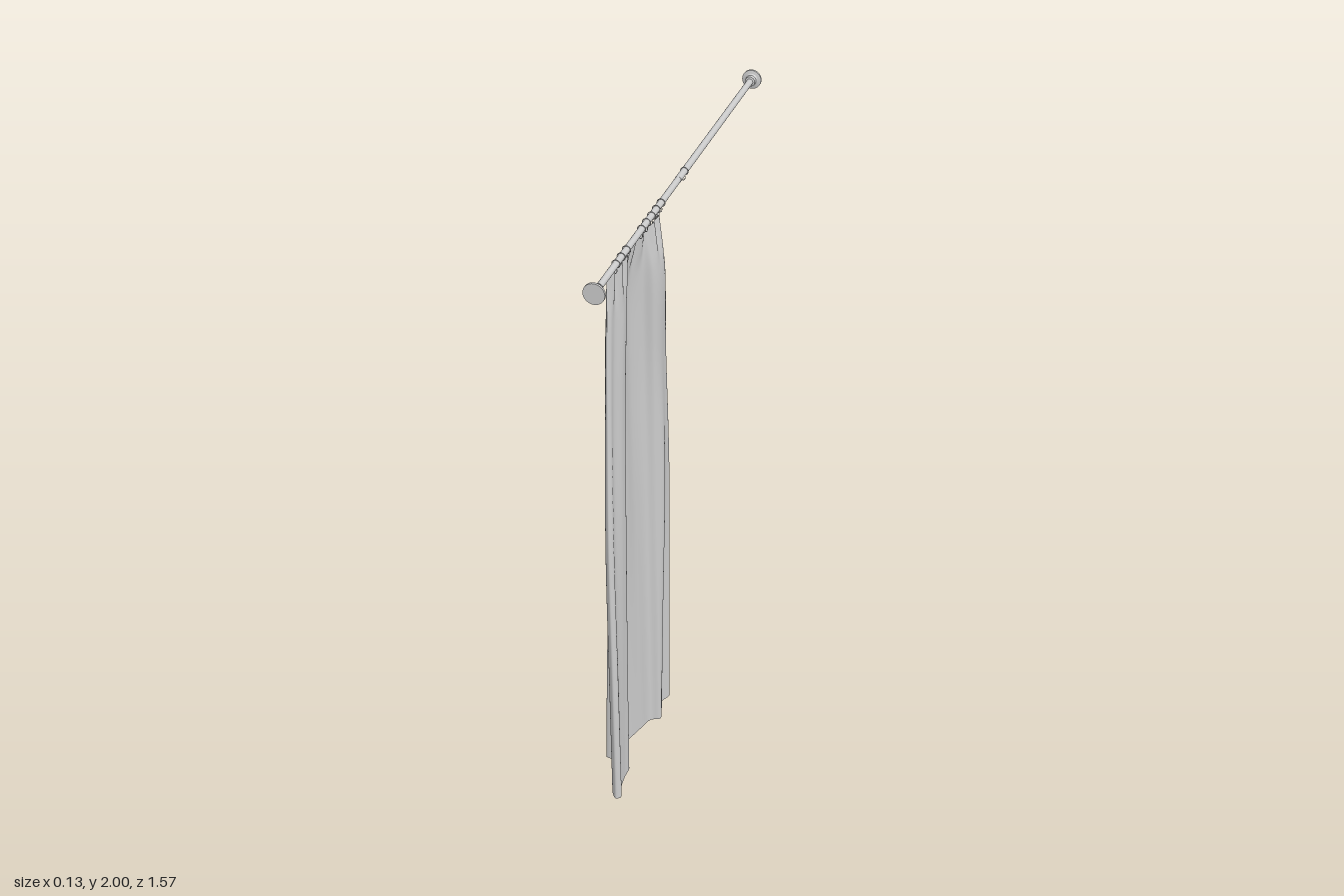
import * as THREE from 'three';

const ROD_X = 0.027, ROD_Y = 1.967, ROD_END = 0.785;
const grey = new THREE.MeshStandardMaterial({ color: 0xcccccc });
const cloth = new THREE.MeshStandardMaterial({ color: 0xcccccc, side: THREE.DoubleSide });

// Pleats along the top hem; rings sit on some of the pleat peaks
const PLEAT_START = 0.195, PLEAT = 0.045;
const RINGED_PLEATS = [0, 1, 2, 3, 4, 7, 8, 9];

// Cloth cross-sections: fractions across the width (the last few fold back), then x offsets per height
const ACROSS = [0, 0.03, 0.06, 0.14, 0.23, 0.28, 0.31, 0.41, 0.53, 0.65, 0.71, 0.72, 0.735, 0.82, 0.91, 0.98, 1, 0.96, 0.88];
const LEVELS = [
  { y: 0.005, z0: 0.11, z1: 0.70, x: [-0.02, 0.005, 0.036, 0.02, 0.04, 0.044, 0.015, 0, -0.02, -0.055, -0.064, -0.02, 0.022, 0.024, 0.03, 0.044, 0.03, 0.01, -0.004] },
  { y: 0.5, z0: 0.117, z1: 0.697, x: [-0.02, 0.008, 0.038, 0.026, 0.048, 0.042, 0.012, -0.003, -0.018, -0.042, -0.052, -0.015, 0.022, 0.028, 0.028, 0.038, 0.026, 0.006, -0.008] },
  { y: 1.0, z0: 0.125, z1: 0.686, x: [-0.018, 0.01, 0.04, 0.042, 0.054, 0.036, 0.008, -0.01, -0.014, -0.026, -0.032, -0.008, 0.022, 0.03, 0.022, 0.028, 0.018, 0, -0.014] },
  { y: 1.45, z0: 0.143, z1: 0.652, x: [-0.014, 0.01, 0.034, 0.042, 0.045, 0.034, 0.004, -0.02, -0.02, -0.024, -0.028, -0.008, 0.018, 0.026, 0.014, 0.018, 0.01, -0.004, -0.016] },
  { y: 1.8, z0: 0.175, z1: 0.625, x: [-0.01, 0.012, 0.036, 0.05, 0.048, 0.036, 0.008, -0.016, -0.018, -0.016, -0.018, 0, 0.022, 0.03, 0.016, 0.014, 0.006, -0.004, -0.012] },
  { y: 1.93, z0: 0.182, z1: 0.615, x: [0.01, 0.014, 0.02, 0.028, 0.028, 0.024, 0.016, 0.008, 0.004, 0.004, 0.004, 0.01, 0.018, 0.024, 0.018, 0.014, 0.01, 0.006, 0.004] },
];

function makeCloth() {
  const cols = 220, rows = 64, pos = [], index = [];
  // One vertical curve per control column
  const columns = ACROSS.map((u, i) => new THREE.CatmullRomCurve3(
    LEVELS.map((l) => new THREE.Vector3(l.x[i], l.y, l.z0 + u * (l.z1 - l.z0))), false, 'centripetal'));
  for (let r = 0; r <= rows; r++) {
    const v = r / rows;
    const section = new THREE.CatmullRomCurve3(columns.map((c) => c.getPoint(v)), false, 'centripetal');
    for (let c = 0; c <= cols; c++) {
      const p = section.getPoint(c / cols);
      // Gathered pleats and scalloped hem near the rings
      const wave = Math.cos(((p.z - PLEAT_START) / PLEAT) * Math.PI * 2);
      const gather = THREE.MathUtils.smoothstep(p.y, 1.78, 1.93);
      const hem = THREE.MathUtils.smoothstep(p.y, 1.86, 1.93);
      p.x += 0.008 * wave * gather;
      p.y += (0.01 + 0.008 * wave) * hem;
      // Recessed part of the lower hem hangs slightly higher
      p.y += 0.012 * THREE.MathUtils.smoothstep(-p.x, -0.015, 0.01) * (1 - v) ** 8;
      pos.push(p.x, p.y, p.z);
      if (r < rows && c < cols) {
        const a = r * (cols + 1) + c, b = a + cols + 1;
        index.push(a, b, a + 1, b, b + 1, a + 1);
      }
    }
  }
  const g = new THREE.BufferGeometry();
  g.setAttribute('position', new THREE.Float32BufferAttribute(pos, 3));
  g.setIndex(index);
  g.computeVertexNormals();
  return g;
}

export function createModel() {
  const model = new THREE.Group();
  const add = (name, geometry, material, x, y, z, parent = model) => {
    const m = new THREE.Mesh(geometry, material);
    m.name = name;
    m.position.set(x, y, z);
    parent.add(m);
    return m;
  };

  // Telescoping rod: thicker sleeve and slightly slimmer inner tube
  const tube = (name, radius, za, zb) => add(name,
    new THREE.CylinderGeometry(radius, radius, zb - za, 24).rotateX(Math.PI / 2), grey, ROD_X, ROD_Y, (za + zb) / 2);
  tube('rodSleeve', 0.0108, -0.76, 0.03);
  tube('rodInner', 0.0102, 0.03, 0.76);

  // Wall flanges, turned about the rod axis, with crisp profile steps
  const profile = [[0, 0], [0.033, 0], [0.033, 0.008], [0.022, 0.011], [0.018, 0.015], [0.017, 0.028], [0.0105, 0.03]];
  const flange = new THREE.LatheGeometry(profile.map(([r, h]) => new THREE.Vector2(r, h)), 32).toNonIndexed();
  flange.computeVertexNormals();
  for (const s of [-1, 1]) {
    const f = add(s > 0 ? 'frontFlange' : 'backFlange', flange, grey, ROD_X, ROD_Y, s * ROD_END);
    f.rotation.x = -s * Math.PI / 2;
  }

  // Thin curtain rings, each with a small hanging hook
  const ringGeo = new THREE.TorusGeometry(0.0125, 0.0013, 8, 24);
  const hookPath = new THREE.CatmullRomCurve3([[0, -0.0125], [0.003, -0.02], [0, -0.03], [-0.006, -0.031], [-0.008, -0.025]]
    .map(([x, y]) => new THREE.Vector3(x, y, 0)));
  const hookGeo = new THREE.TubeGeometry(hookPath, 12, 0.0012, 6);
  for (const z of [-0.033, 0.745, ...RINGED_PLEATS.map((k) => PLEAT_START + k * PLEAT)]) {
    const ring = new THREE.Group();
    ring.name = 'curtainRing';
    ring.position.set(ROD_X, ROD_Y, z);
    add('ringLoop', ringGeo, grey, 0, 0, 0, ring);
    add('ringHook', hookGeo, grey, 0, 0, 0, ring);
    model.add(ring);
  }

  // Draped cloth
  add('curtain', makeCloth(), cloth, 0, 0, 0);
  return model;
}
